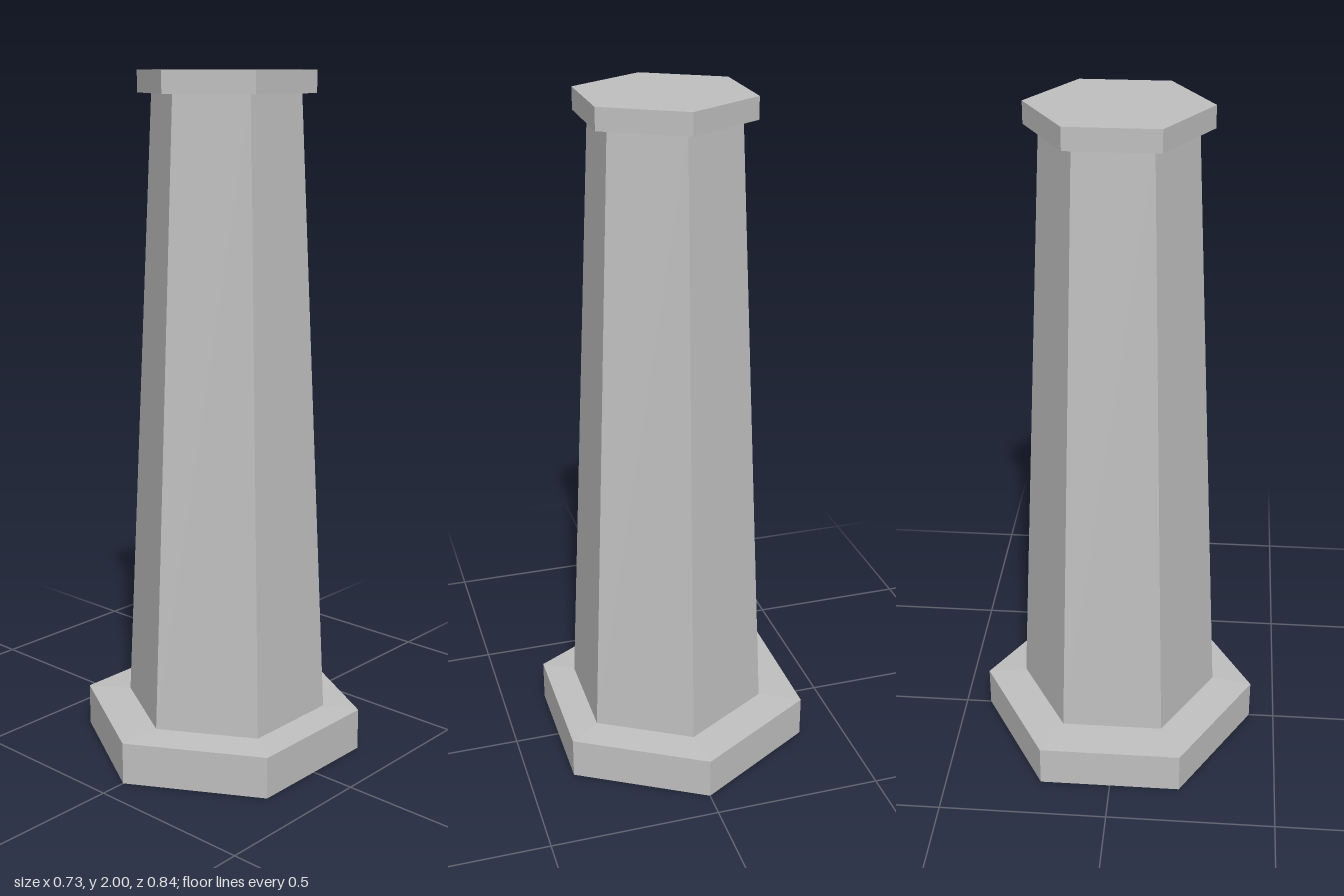
import * as THREE from 'three';

const SIDES = 6;
const OFFSET_X = 0.015; // shaft and cap sit slightly off the base centre
const OFFSET_Z = -0.002;

export function createModel() {
  const group = new THREE.Group();
  const stone = new THREE.MeshStandardMaterial({ color: 0xc0c0c0, flatShading: true });
  stone.name = 'grey stone';

  // Hexagonal frustum between two heights, corners on the z axis
  const hexBlock = (name, rBottom, rTop, y0, y1, x = 0, z = 0, open = false) => {
    const geometry = new THREE.CylinderGeometry(rTop, rBottom, y1 - y0, SIDES, 1, open);
    const mesh = new THREE.Mesh(geometry, stone);
    mesh.name = name;
    mesh.position.set(x, (y0 + y1) / 2, z);
    group.add(mesh);
    return mesh;
  };

  // Base slab, with a shallow slope on top rising to the shaft
  hexBlock('base', 0.422, 0.422, 0, 0.125);
  const slope = hexBlock('baseSlope', 0.422, 0.302, 0.125, 0.132, 0, 0, true);
  const p = slope.geometry.attributes.position;
  for (let i = 0; i < p.count; i++) {
    if (p.getY(i) > 0) p.setXYZ(i, p.getX(i) + OFFSET_X, p.getY(i), p.getZ(i) + OFFSET_Z);
  }

  // Tapered shaft and overhanging cap
  hexBlock('shaft', 0.302, 0.214, 0.13, 1.94, OFFSET_X, OFFSET_Z);
  hexBlock('cap', 0.255, 0.255, 1.938, 2, OFFSET_X, OFFSET_Z);

  return group;
}
